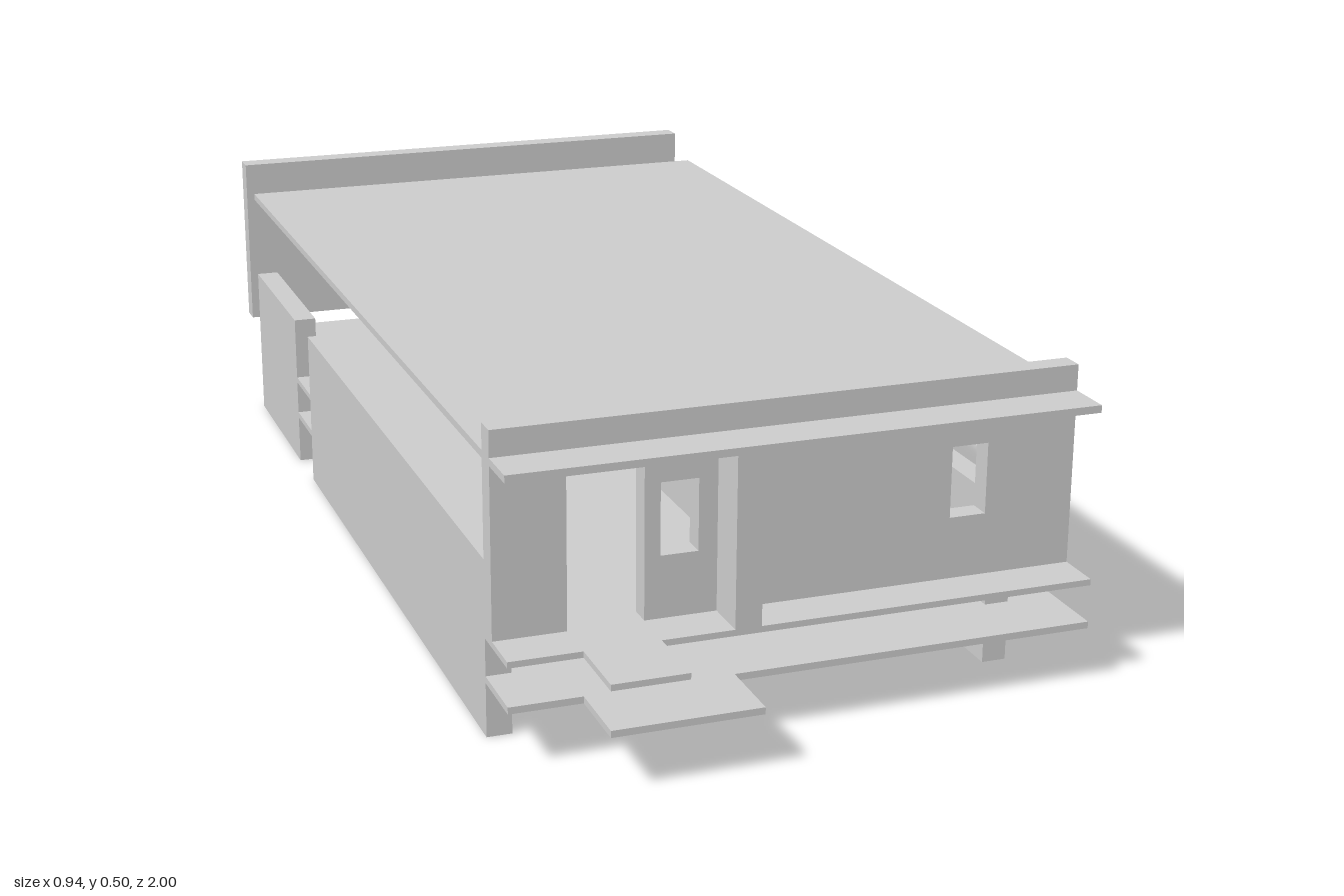
import * as THREE from 'three';

const W = 0.47; // half width of the house
const L = 0.88; // half length of the slabs

export function createModel() {
  const group = new THREE.Group();
  const material = new THREE.MeshStandardMaterial({ color: 0xcccccc, flatShading: true });

  const add = (name, geometry) => {
    const mesh = new THREE.Mesh(geometry, material);
    mesh.name = name;
    group.add(mesh);
  };

  // Box given by its limits along each axis
  const block = (name, [x0, x1], [y0, y1], [z0, z1]) => {
    const g = new THREE.BoxGeometry(x1 - x0, y1 - y0, z1 - z0);
    add(name, g.translate((x0 + x1) / 2, (y0 + y1) / 2, (z0 + z1) / 2));
  };

  // Floor slab with an entrance landing that juts out at the front
  const floorSlab = (name, landingX0, landingX1, y, thickness) => {
    const outline = [
      [-W, -L], [W, -L], [W, L], [landingX1, L], [landingX1, 1],
      [landingX0, 1], [landingX0, L], [-W, L],
    ].map(([x, z]) => new THREE.Vector2(x, -z));
    const g = new THREE.ExtrudeGeometry(new THREE.Shape(outline), { depth: thickness, bevelEnabled: false });
    add(name, g.rotateX(-Math.PI / 2).translate(0, y, 0));
  };

  floorSlab('lowerFloorSlab', -0.355, -0.12, 0.088, 0.011);
  floorSlab('upperFloorSlab', -0.355, -0.235, 0.16, 0.01);
  block('roofSlab', [-W, W], [0.441, 0.453], [-L, L]);

  // Front wall with doorway and two windows, rising above the roof as a parapet
  const front = new THREE.Shape([
    [-W, 0.17], [-0.355, 0.17], [-0.355, 0.441], [-0.235, 0.441],
    [-0.235, 0.17], [W, 0.17], [W, 0.495], [-W, 0.495],
  ].map(([x, y]) => new THREE.Vector2(x, y)));
  for (const x of [-0.21, 0.262]) {
    front.holes.push(new THREE.Path([
      [x, 0.27], [x, 0.385], [x + 0.06, 0.385], [x + 0.06, 0.27],
    ].map(([px, py]) => new THREE.Vector2(px, py))));
  }
  add('frontWall', new THREE.ExtrudeGeometry(front, { depth: 0.037, bevelEnabled: false }).translate(0, 0, 0.767));
  block('entranceFin', [-0.12, -0.078], [0.17, 0.441], [0.804, L]);

  // Free-standing back wall
  block('backWall', [-W, W], [0.17, 0.495], [-1, -0.96]);

  // Low side walls that reach down to the ground
  block('leftLowWall', [0.35, 0.39], [0, 0.285], [-L, 0.767]);
  block('rightLowWallFront', [-W, -0.43], [0, 0.285], [-0.41, 0.767]);
  block('rightLowWallBack', [-W, -0.43], [0, 0.285], [-L, -0.525]);

  // Step along the left terrace
  block('terraceStep', [0.39, W], [0.17, 0.184], [-0.295, 0.3]);

  // Interior partitions and post carrying the roof
  block('partitionFront', [-0.02, 0.02], [0.17, 0.441], [-0.17, 0.767]);
  block('partitionBack', [-0.02, 0.02], [0.17, 0.441], [-L, -0.295]);
  block('innerPost', [0.235, 0.275], [0.17, 0.441], [-0.485, -0.41]);
  block('innerWall', [0.235, 0.275], [0.17, 0.441], [-L, -0.525]);

  return group;
}
